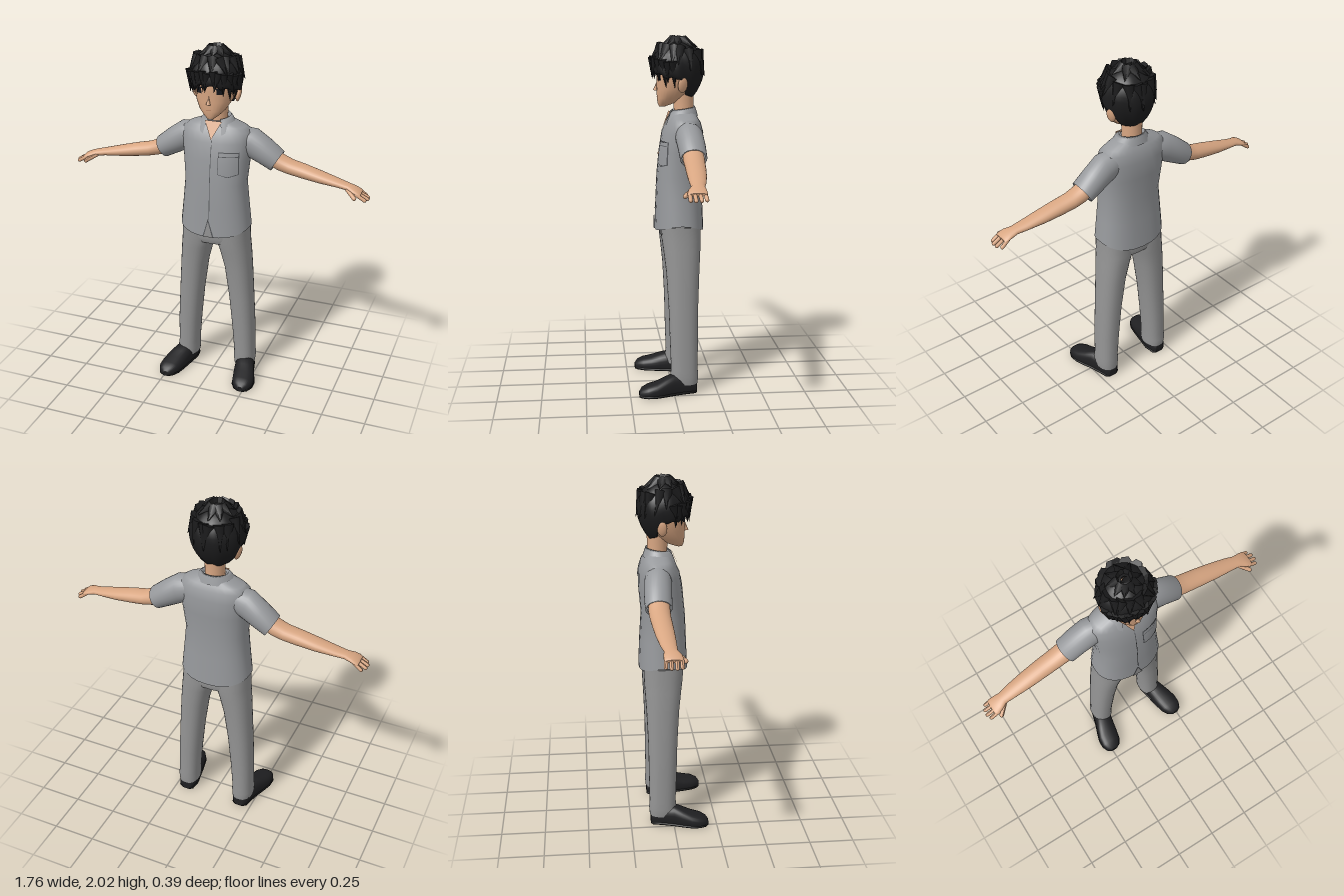
import * as THREE from 'three';

const V = (x, y, z) => new THREE.Vector3(x, y, z);
const paint = (name, color, side = THREE.FrontSide) => {
  const m = new THREE.MeshStandardMaterial({ color, side });
  m.name = name;
  return m;
};

// Superellipse ring around p; the loft axis lies at angle t in the xy plane
function ring(p, ru, rv, t = Math.PI / 2, e = 2, n = 28) {
  const pw = (c) => Math.sign(c) * Math.abs(c) ** (2 / e);
  return Array.from({ length: n }, (_, i) => {
    const a = (i / n) * Math.PI * 2, u = ru * pw(Math.cos(a)), v = rv * pw(Math.sin(a));
    return V(p[0] - Math.sin(t) * u, p[1] + Math.cos(t) * u, p[2] + v);
  });
}

// Skin a list of rings, optionally closing both ends
function loft(rings, caps = true, closed = true) {
  const n = rings[0].length, pos = [], idx = [];
  rings.forEach((r) => r.forEach((p) => pos.push(p.x, p.y, p.z)));
  for (let j = 0; j < rings.length - 1; j++) for (let i = 0; i < (closed ? n : n - 1); i++) {
    const a = j * n + i, b = j * n + (i + 1) % n;
    idx.push(a, b, a + n, b, b + n, a + n);
  }
  if (caps) [rings[0], rings[rings.length - 1]].forEach((r, end) => {
    const s = pos.length / 3, c = r.reduce((q, p) => q.add(p), V(0, 0, 0)).divideScalar(n);
    [...r, c].forEach((p) => pos.push(p.x, p.y, p.z));
    for (let i = 0; i < n; i++) {
      const a = s + i, b = s + (i + 1) % n;
      idx.push(s + n, ...(end ? [a, b] : [b, a]));
    }
  });
  const g = new THREE.BufferGeometry();
  g.setAttribute('position', new THREE.Float32BufferAttribute(pos, 3));
  g.setIndex(idx);
  g.computeVertexNormals();
  return g;
}

function mirrored(geo) {
  const g = geo.clone().scale(-1, 1, 1), k = g.index.array;
  for (let i = 0; i < k.length; i += 3) [k[i + 1], k[i + 2]] = [k[i + 2], k[i + 1]];
  g.computeVertexNormals();
  return g;
}

// Upright body rows: [y, half width, front z, back z, centre x]
const upright = (rows, e) => rows.map(([y, rx, f, b, cx = 0]) => ring([cx, y, (f + b) / 2], rx, (f - b) / 2, Math.PI / 2, e));

// Height of the front surface of a set of rows at x, y
function frontZ(rows, e, x, y) {
  const k = Math.max(1, rows.findIndex((r) => r[0] >= y)), A = rows[k - 1], B = rows[k];
  const t = (y - A[0]) / (B[0] - A[0]), [, rx, f, b] = A.map((v, i) => v + (B[i] - v) * t);
  return (f + b) / 2 + ((f - b) / 2) * Math.max(0, 1 - Math.abs(x / rx) ** e) ** (1 / e);
}

// Thin patch laid on the front of a body
function patch(rows, e, x, y, w, h, lift, point = 0) {
  const g = new THREE.PlaneGeometry(w, h, 6, 6).translate(x, y, 0), p = g.attributes.position;
  for (let i = 0; i < p.count; i++) {
    const px = p.getX(i), py = p.getY(i);
    p.setZ(i, frontZ(rows, e, px, py) + lift);
    if (py < y - h * 0.45) p.setY(i, py - point * (1 - Math.abs((px - x) / (w / 2))));
  }
  g.computeVertexNormals();
  return g;
}

function capsule(a, b, r) {
  const d = b.clone().sub(a);
  return new THREE.CapsuleGeometry(r, d.length(), 4, 10)
    .applyQuaternion(new THREE.Quaternion().setFromUnitVectors(V(0, 1, 0), d.clone().normalize()))
    .translate((a.x + b.x) / 2, (a.y + b.y) / 2, (a.z + b.z) / 2);
}

export function createModel() {
  const root = new THREE.Group();
  const skin = paint('skin', 0xd8a682, THREE.DoubleSide), shirt = paint('shirt grey', 0x97999c, THREE.DoubleSide);
  const trousers = paint('trouser grey', 0x949494), seam = paint('seam grey', 0x55575a);
  const black = paint('hair black', 0x1c1c1d, THREE.DoubleSide), leather = paint('shoe black', 0x202022);
  const sole = paint('sole black', 0x141414), ink = paint('eye black', 0x15171c);
  const add = (name, geo, mat) => {
    const m = new THREE.Mesh(geo, mat);
    m.name = name;
    root.add(m);
  };
  const pair = (name, geo, mat) => {
    add(name + 'Left', geo, mat);
    add(name + 'Right', mirrored(geo), mat);
  };

  // Trousers
  add('hips', loft(upright([[0.865, 0.15, 0.05, -0.15], [0.9, 0.198, 0.064, -0.16], [1.02, 0.185, 0.07, -0.16]], 2.4)), trousers);
  pair('trouserLeg', loft(upright([
    [0.055, 0.06, 0.012, -0.138, 0.18], [0.1, 0.064, 0.018, -0.142, 0.181], [0.14, 0.061, 0.014, -0.138, 0.179],
    [0.3, 0.066, 0.02, -0.14, 0.172], [0.5, 0.071, 0.026, -0.142, 0.157], [0.7, 0.079, 0.038, -0.15, 0.137],
    [0.82, 0.09, 0.052, -0.157, 0.117], [0.88, 0.098, 0.06, -0.16, 0.103], [0.96, 0.098, 0.065, -0.16, 0.1]], 2.3)), trousers);

  // Shoes: [z, top, half width, centre x]
  const shoe = [[-0.133, 0.05, 0.025, 0.18], [-0.122, 0.08, 0.044, 0.181], [-0.06, 0.108, 0.055, 0.185], [0, 0.115, 0.058, 0.2],
    [0.05, 0.098, 0.063, 0.214], [0.1, 0.078, 0.066, 0.227], [0.15, 0.066, 0.061, 0.234], [0.185, 0.05, 0.043, 0.237], [0.2, 0.03, 0.018, 0.238]];
  const shoeLoft = (top, wide) => loft(shoe.map(([z, h, w, cx]) => {
    const r = ring([z, top(h) * 0.4, -cx], top(h) * 0.6, w * wide, 0, 2.5);
    r.forEach((p) => { p.y = Math.max(0, p.y); });
    return r;
  })).rotateY(-Math.PI / 2);
  pair('shoe', shoeLoft((h) => h, 1), leather);
  pair('shoeSole', shoeLoft(() => 0.022, 1.05), sole);

  // Shirt body with a hem that dips at front and back
  const body = [[0.97, 0.206, 0.093, -0.184], [1.1, 0.192, 0.086, -0.176], [1.24, 0.179, 0.08, -0.167], [1.38, 0.192, 0.066, -0.179],
    [1.48, 0.203, 0.05, -0.18], [1.535, 0.2, 0.024, -0.165], [1.56, 0.165, 0.01, -0.15], [1.59, 0.085, -0.003, -0.135]];
  const bodyRings = upright(body, 2.4);
  bodyRings[0].forEach((p) => { p.y -= 0.045 * ((p.z + 0.045) / 0.139) ** 2; });
  add('shirtBody', loft(bodyRings), shirt);
  pair('sleeve', loft([ring([0.13, 1.48, -0.08], 0.072, 0.07, -0.1), ring([0.2, 1.463, -0.085], 0.085, 0.076, -0.25),
    ring([0.27, 1.42, -0.09], 0.075, 0.075, -0.45), ring([0.344, 1.371, -0.092], 0.064, 0.073, -0.53),
    ring([0.34, 1.374, -0.092], 0.052, 0.062, -0.53)], false), shirt);

  // Button line, hem slit and breast pocket
  add('buttonLine', patch(body, 2.4, 0.004, 1.265, 0.004, 0.46, 0.003), seam);
  const slit = (w, top, lift) => new THREE.ShapeGeometry(new THREE.Shape(
    [new THREE.Vector2(-w, 0.928), new THREE.Vector2(w, 0.928), new THREE.Vector2(0, top)])).translate(0, 0, lift);
  add('slitEdge', slit(0.034, 1.04, 0.096), seam);
  add('hemSlit', slit(0.026, 1.025, 0.098), trousers);
  add('pocketEdge', patch(body, 2.4, 0.103, 1.372, 0.112, 0.128, 0.004, 0.016), seam);
  add('pocket', patch(body, 2.4, 0.103, 1.372, 0.104, 0.12, 0.008, 0.014), shirt);
  add('pocketSeam', patch(body, 2.4, 0.103, 1.412, 0.104, 0.004, 0.01), seam);

  // Open neck and folded collar running from tip to tip around the back
  const vee = new THREE.BufferGeometry().setFromPoints([V(-0.05, 1.595, 0.008), V(0, 1.497, 0.05), V(0.05, 1.595, 0.008)]);
  vee.setIndex([0, 1, 2]);
  vee.computeVertexNormals();
  add('openNeck', vee, skin);
  const collarRow = (rx, rz, cz, top, drop, tip) => Array.from({ length: 29 }, (_, i) => {
    const a = 0.5 + (i / 28) * (Math.PI * 2 - 1), f = Math.max(0, Math.cos(a));
    return V(Math.sin(a) * rx, top - drop * (1 + Math.cos(a)) / 2 - tip * f ** 4, cz + Math.cos(a) * rz);
  });
  add('collar', loft([collarRow(0.066, 0.06, -0.07, 1.59, 0, 0.01), collarRow(0.072, 0.066, -0.07, 1.622, 0.02, 0),
    collarRow(0.086, 0.078, -0.062, 1.612, 0.02, 0.01), collarRow(0.115, 0.098, -0.055, 1.57, 0.02, 0.05)], false, false), shirt);

  // Arms: [x, y, z, half height, half depth]
  pair('arm', loft([[0.27, 1.415, -0.09, 0.05, 0.055], [0.36, 1.368, -0.091, 0.046, 0.058], [0.42, 1.348, -0.09, 0.041, 0.056],
    [0.5, 1.333, -0.086, 0.039, 0.054], [0.6, 1.314, -0.08, 0.032, 0.05], [0.7, 1.297, -0.073, 0.022, 0.042],
    [0.755, 1.287, -0.067, 0.019, 0.035], [0.79, 1.277, -0.06, 0.018, 0.046], [0.82, 1.266, -0.058, 0.015, 0.05],
    [0.832, 1.261, -0.058, 0.009, 0.044]].map(([x, y, z, h, d]) => ring([x, y, z], h, d, -0.2))), skin);
  [[-0.1, 0.85], [-0.073, 0.866], [-0.045, 0.868], [-0.019, 0.858]].forEach(([z, x], i) =>
    pair('finger' + (i + 1), capsule(V(0.81, 1.266, z * 0.95), V(x, 1.238, z), 0.0105), skin));
  pair('thumb', capsule(V(0.752, 1.28, -0.045), V(0.805, 1.25, 0.002), 0.012), skin);

  // Neck, head, ears and nose
  add('neck', loft(upright([[1.5, 0.06, -0.01, -0.13], [1.6, 0.054, -0.018, -0.128], [1.7, 0.056, -0.01, -0.13]], 2)), skin);
  const head = [[1.622, 0.018, 0.066, 0.03], [1.64, 0.042, 0.074, -0.02], [1.67, 0.072, 0.078, -0.06], [1.72, 0.1, 0.08, -0.12],
    [1.78, 0.114, 0.08, -0.15], [1.85, 0.12, 0.085, -0.16], [1.92, 0.1, 0.06, -0.14], [1.96, 0.05, 0, -0.08]];
  add('head', loft(upright(head, 2.2)), skin);
  pair('ear', new THREE.SphereGeometry(1, 14, 10).scale(0.015, 0.046, 0.028).rotateZ(-0.2).rotateY(0.3).translate(0.124, 1.748, -0.055), skin);
  add('nose', new THREE.ConeGeometry(0.013, 0.05, 8).rotateX(-0.15).translate(0, 1.735, 0.083), skin);

  // Eyes and mouth
  pair('eye', patch(head, 2.2, 0.058, 1.785, 0.03, 0.034, 0.004), ink);
  pair('upperLid', patch(head, 2.2, 0.06, 1.803, 0.045, 0.007, 0.006), ink);
  add('mouth', patch(head, 2.2, 0, 1.678, 0.03, 0.003, 0.003), paint('lip brown', 0xa87258));

  // Hair shell: the lower edge is a fringe in front and drops to the nape
  const edgeAt = (f) => {
    const k = [[0, 1.825], [0.5, 1.81], [1, 1.79], [1.45, 1.775], [1.6, 1.79], [1.8, 1.76], [2.1, 1.7], [3.2, 1.672]];
    const i = Math.max(1, k.findIndex((q) => q[0] >= f)), [a, b] = [k[i - 1], k[i]];
    return a[1] + (b[1] - a[1]) * (f - a[0]) / (b[0] - a[0]);
  };
  const hairPoint = (a, t, s = 1) => {
    const f = Math.abs(Math.atan2(Math.sin(a), Math.cos(a))), jag = f < 1.5 ? 0.018 * Math.abs(Math.sin(a * 6)) : 0;
    const low = edgeAt(f) - 0.01 + jag, y = low + (1.985 - low) * Math.sin(t * Math.PI / 2), d = y - 1.84;
    const k = s * (d > 0 ? Math.sqrt(Math.max(0, 1 - (d / 0.146) ** 2)) : 1 - 0.42 * (d / 0.165) ** 2)
      * (1 + 0.025 * Math.sin(a * 9 + t * 5) * (1 - t));
    return V(Math.sin(a) * 0.149 * k, y, -0.036 + Math.cos(a) * 0.15 * k);
  };
  const hairRing = (t, s) => Array.from({ length: 72 }, (_, i) => hairPoint((i / 72) * Math.PI * 2, t, s));
  add('hair', loft([hairRing(0, 0.78), ...Array.from({ length: 15 }, (_, j) => hairRing(j / 14, 1))], false), black);

  // Locks lying on the shell, pointing down, with a tousled crown
  let seed = 7;
  const rnd = () => (seed = (seed * 16807) % 2147483647) / 2147483647;
  const lock = (a, t0, t1, r, out, name) => {
    const p = hairPoint(a, t0, 0.97), q = hairPoint(a + (rnd() - 0.5) * 0.4, t1, 1 + out), d = q.clone().sub(p);
    const g = new THREE.ConeGeometry(r, d.length(), 6).translate(0, d.length() / 2, 0)
      .applyQuaternion(new THREE.Quaternion().setFromUnitVectors(V(0, 1, 0), d.normalize())).translate(p.x, p.y, p.z);
    add(name, g, black);
  };
  for (let i = 0; i < 13; i++) lock(-1.3 + i * 0.217, 0.3, -0.08 - rnd() * 0.12, 0.027, 0.03, 'fringeLock');
  for (let i = 0; i < 16; i++) lock(i * 0.393 + rnd() * 0.2, 0.62, 0.25, 0.035, 0.07, 'sideLock');
  for (let i = 0; i < 9; i++) lock(i * 0.698 + rnd() * 0.3, 0.92, 0.68, 0.034, 0.13, 'crownLock');
  add('crownTuft', new THREE.ConeGeometry(0.03, 0.06, 6).rotateZ(0.9).translate(-0.012, 1.978, -0.03), black);
  return root;
}
